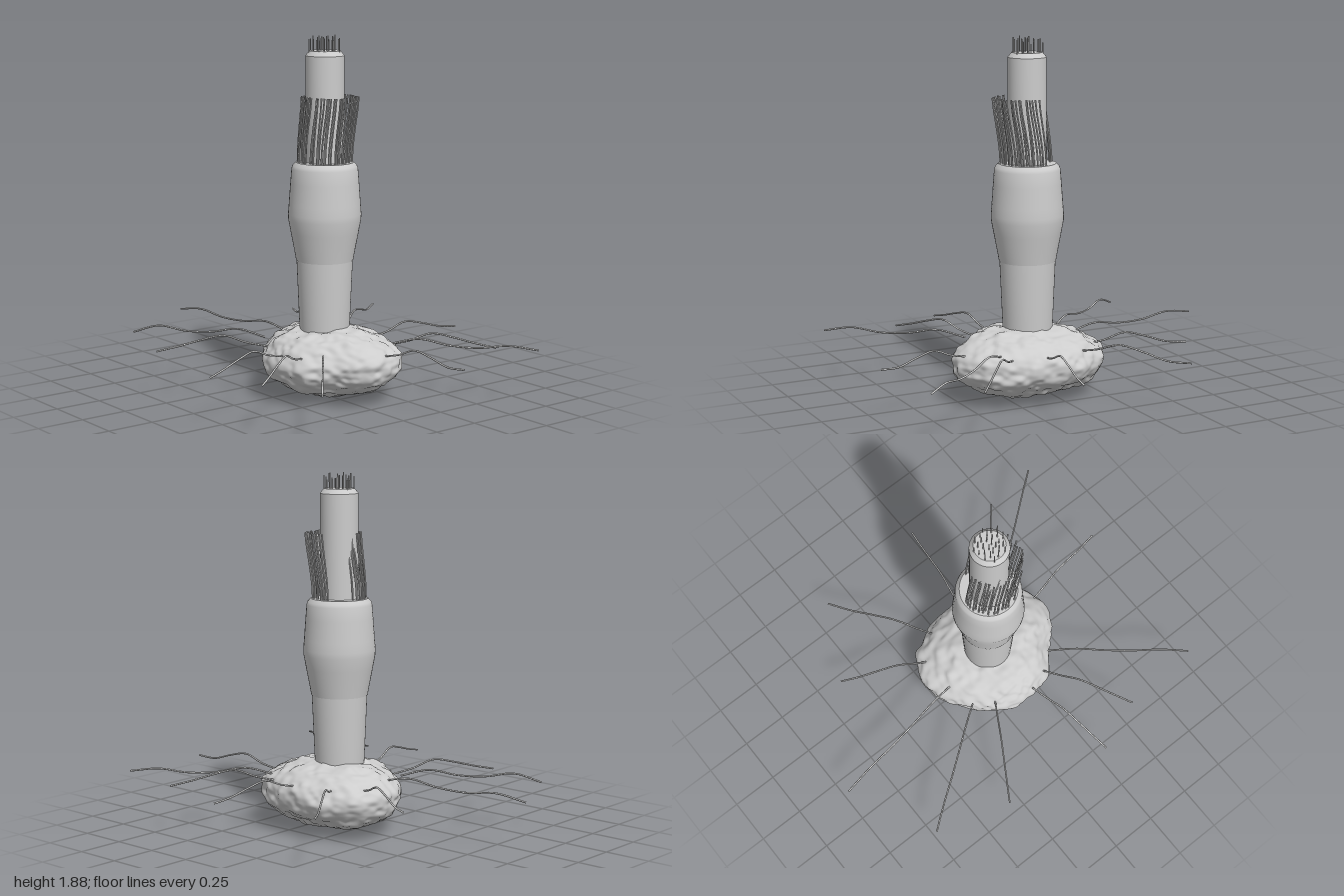
import * as THREE from 'three';
import { mergeVertices, mergeGeometries, toCreasedNormals } from 'three/addons/utils/BufferGeometryUtils.js';

const CX = 0.1, CZ = -0.015; // axis of the stalk

// Small seeded random and smooth 3D value noise
let seed = 7;
const rand = () => (seed = (seed * 16807) % 2147483647) / 2147483647;
const hash = (x, y, z) => {
  const s = Math.sin(x * 127.1 + y * 311.7 + z * 74.7) * 43758.5453;
  return s - Math.floor(s);
};
function noise(x, y, z) {
  const i = [x, y, z].map(Math.floor);
  const f = [x - i[0], y - i[1], z - i[2]].map((t) => t * t * (3 - 2 * t));
  let sum = 0;
  for (let c = 0; c < 8; c++) {
    const a = c & 1, b = (c >> 1) & 1, d = c >> 2;
    sum += hash(i[0] + a, i[1] + b, i[2] + d) *
      (a ? f[0] : 1 - f[0]) * (b ? f[1] : 1 - f[1]) * (d ? f[2] : 1 - f[2]);
  }
  return sum * 2 - 1;
}

// Outline radius of the base every 30 degrees, from +x towards +z
const OUTLINE = [0.42, 0.345, 0.345, 0.345, 0.34, 0.35, 0.405, 0.415, 0.365, 0.335, 0.355, 0.405];
function outline(angle) {
  const t = ((angle / (Math.PI * 2)) * 12 + 12) % 12, i = Math.floor(t), f = t - i;
  const [a, b, c, d] = [11, 0, 1, 2].map((k) => OUTLINE[(i + k) % 12]);
  return b + 0.5 * f * (c - a + f * (2 * a - 5 * b + 4 * c - d + f * (3 * (b - c) + d - a)));
}

// Rough rounded base: a sphere stretched to the outline, then roughened
function rockGeometry() {
  let g = new THREE.IcosahedronGeometry(1, 34);
  g.deleteAttribute('uv');
  g.deleteAttribute('normal');
  g = mergeVertices(g, 1e-5);
  const p = g.attributes.position, v = new THREE.Vector3();
  for (let i = 0; i < p.count; i++) {
    v.fromBufferAttribute(p, i);
    const r = outline(Math.atan2(v.z, v.x));
    const x = v.x * r, y = v.y * 0.18, z = v.z * r;
    const n = 0.014 * noise(x * 12 + 5, y * 18, z * 12) + 0.009 * noise(x * 28, y * 38 + 9, z * 28);
    p.setXYZ(i, 0.12 + x + v.x * n, 0.193 + y + v.y * n, -0.02 + z + v.z * n);
  }
  g.computeVertexNormals();
  return g;
}

const lathe = (points) => toCreasedNormals(
  new THREE.LatheGeometry(points.map(([r, y]) => new THREE.Vector2(r, y)), 48), 0.5);

const strand = (points, radius, steps = 12) => new THREE.TubeGeometry(
  new THREE.CatmullRomCurve3(points.map((p) => new THREE.Vector3(...p))), steps, radius, 6);

// Root x, z, tip x, z and tip height of each long whisker
const WHISKERS = [
  [-0.05, -0.24, -0.43, -0.79, 0.28], [0.14, -0.29, 0.21, -0.84, 0.26],
  [0.31, -0.27, 0.68, -0.70, 0.25], [0.36, -0.24, 0.97, -0.72, 0.29],
  [0.48, -0.09, 1.0, -0.18, 0.28], [0.36, 0.20, 0.97, 0.69, 0.28],
  [0.27, 0.27, 0.54, 0.72, 0.25], [0.16, 0.31, 0.26, 0.83, 0.25],
  [-0.05, 0.24, -0.35, 0.74, 0.25], [-0.16, 0.18, -0.76, 0.62, 0.26],
  [-0.16, 0.02, -1.0, 0.15, 0.28], [-0.16, -0.15, -0.65, -0.38, 0.27],
];

export function createModel() {
  const model = new THREE.Group();
  const grey = new THREE.MeshStandardMaterial({ color: 0xcccccc });
  grey.name = 'pale grey';
  const add = (name, geometry, x = 0, z = 0) => {
    const mesh = new THREE.Mesh(geometry, grey);
    mesh.name = name;
    mesh.position.set(x, 0, z);
    model.add(mesh);
  };

  add('roughBase', rockGeometry());

  // Whiskers spreading from the base, each with a gentle wave
  WHISKERS.forEach(([x0, z0, x1, z1, tip], i) => {
    const long = Math.hypot(x1 - x0, z1 - z0) > 0.7;
    const heights = long ? [0.28, 0.315, 0.29, 0.285, 0.305, tip] : [0.26, 0.285, 0.325, 0.305, 0.275, tip];
    const points = heights.map((y, k) => {
      const t = k / 5;
      return [x0 + (x1 - x0) * t, y, z0 + (z1 - z0) * t];
    });
    add(`whisker${i + 1}`, strand(points, 0.005, 24));
  });

  // Stalk: lower stem, swollen sheath and inner core
  add('lowerStem', lathe([[0, 0.25], [0.125, 0.25], [0.132, 0.38], [0.147, 0.73], [0, 0.73]]), CX, CZ);
  add('sheath', lathe([
    [0, 0.715], [0.149, 0.715], [0.157, 0.76], [0.176, 0.86], [0.189, 0.93], [0.19, 0.96],
    [0.186, 1.01], [0.178, 1.12], [0.172, 1.195], [0.167, 1.21], [0.15, 1.228], [0, 1.228],
  ]), CX, CZ);
  add('innerCore', lathe([[0, 1.2], [0.1, 1.2], [0.1, 1.775], [0.08, 1.8], [0, 1.8]]), CX, CZ);

  // Ring of bristles leaning to +x, with a gap at the back right
  const ring = [];
  for (let i = 0; i < 52; i++) {
    const a = (-135 + 28 + (304 * (i + 0.8 * rand())) / 52) * Math.PI / 180;
    const r = 0.115 + 0.028 * rand(), lean = 0.035 + 0.02 * rand();
    const x = r * Math.cos(a), z = r * Math.sin(a);
    ring.push(strand([[x, 1.22, z], [x + lean * 0.1, 1.3, z], [x + lean * 0.45, 1.41, z],
      [x + lean * 0.8, 1.5, z], [x + lean, 1.57, z]], 0.0045));
  }
  add('bristleRing', mergeGeometries(ring), CX, CZ);

  // Short tuft on top of the core
  const tuft = [];
  for (let i = 0; i < 28; i++) {
    const r = 0.085 * Math.sqrt((i + 0.5) / 28), a = i * 2.4;
    const h = 0.05 + 0.04 * rand();
    tuft.push(new THREE.CylinderGeometry(0.003, 0.003, h, 6)
      .translate(r * Math.cos(a), 1.79 + h / 2, r * Math.sin(a)));
  }
  add('topTuft', mergeGeometries(tuft), CX, CZ);

  return model;
}
